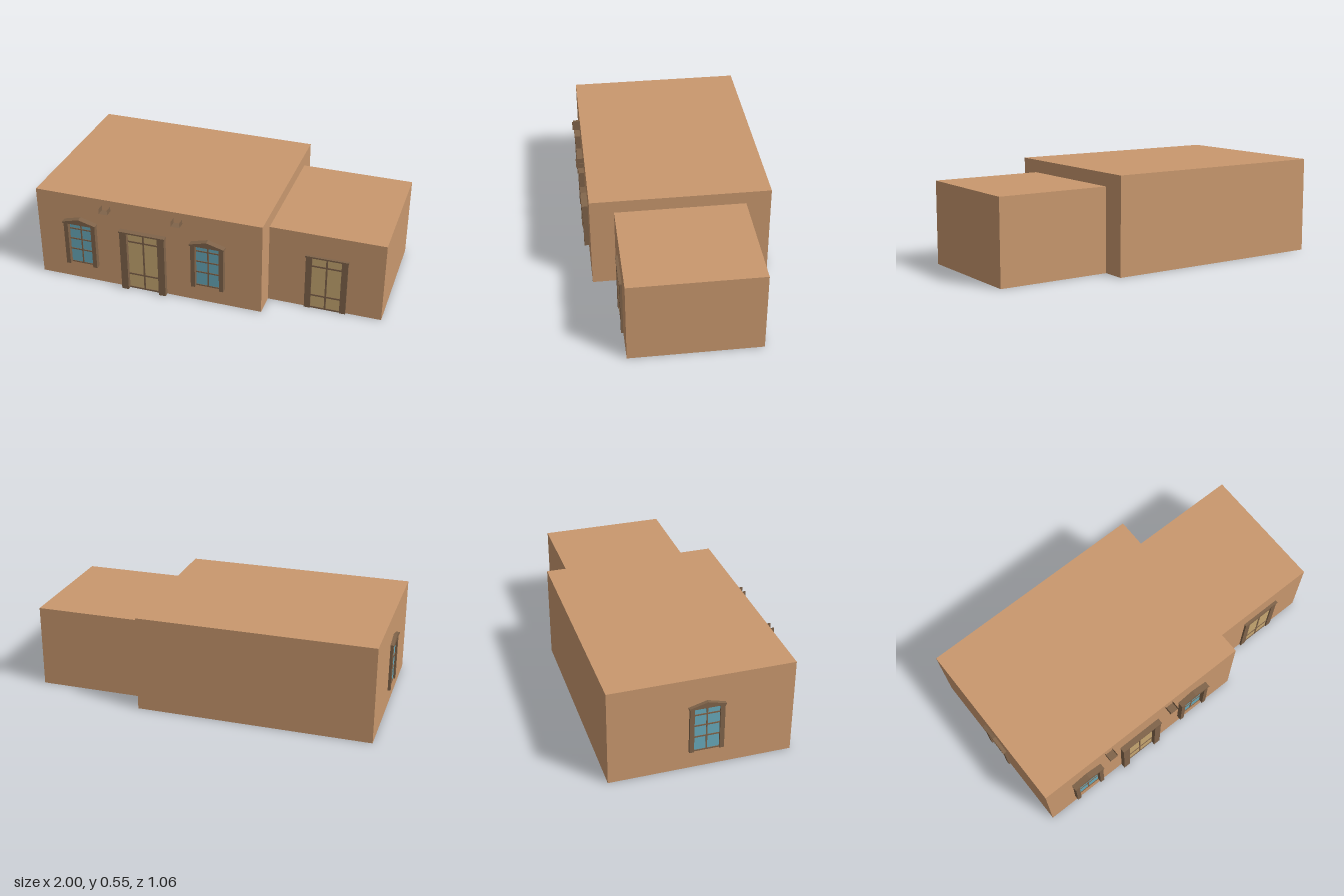
import * as THREE from 'three';

const mat = (color) => new THREE.MeshStandardMaterial({ color });
const wall = mat(0xc9986e), trim = mat(0x80644a), glass = mat(0x68aabb), panel = mat(0xc8a872);
const thin = mat(0x80644a);
thin.side = THREE.DoubleSide;

// Box given by its lower and upper limits on each axis
function box(parent, name, material, [x0, x1], [y0, y1], [z0, z1]) {
  const mesh = new THREE.Mesh(new THREE.BoxGeometry(x1 - x0, y1 - y0, z1 - z0), material);
  mesh.name = name;
  mesh.position.set((x0 + x1) / 2, (y0 + y1) / 2, (z0 + z1) / 2);
  parent.add(mesh);
  return mesh;
}

// Jambs, pane and glazing bars shared by windows and doors; the wall is at z = 0
function opening(name, { half, inner, y0, y1, depth, bars, fill, bar }) {
  const g = new THREE.Group();
  g.name = name;
  for (const s of [-1, 1]) {
    const xs = s < 0 ? [-half, -inner] : [inner, half];
    box(g, 'jamb', trim, xs, [y0, y1], [0, depth]);
  }
  box(g, 'pane', fill, [-inner, inner], [y0, y1], [0, 0.004]);
  box(g, 'uprightBar', trim, [-bar, bar], [y0, y1], [0, 0.007]);
  for (const y of bars) box(g, 'crossBar', trim, [-inner, inner], [y - bar, y + bar], [0, 0.007]);
  return g;
}

function makeWindow(name, depth) {
  const g = opening(name, {
    half: 0.095, inner: 0.07, y0: 0.105, y1: 0.377, depth,
    bars: [0.109, 0.196, 0.265, 0.332], fill: glass, bar: 0.004,
  });
  // Low gabled hood
  const shape = new THREE.Shape([
    [-0.1, 0.376], [0.1, 0.376], [0.1, 0.384], [0, 0.411], [-0.1, 0.384],
  ].map(([x, y]) => new THREE.Vector2(x, y)));
  const hood = new THREE.Mesh(
    new THREE.ExtrudeGeometry(shape, { depth: depth + 0.005, bevelEnabled: false }), trim);
  hood.name = 'gabledHood';
  g.add(hood);
  return g;
}

function makeDoor(name, half, inner, height, depth, bars) {
  const g = opening(name, {
    half: half - 0.004, inner, y0: 0, y1: height - 0.008, depth, bars, fill: panel, bar: 0.005,
  });
  box(g, 'lintel', trim, [-half, half], [height - 0.009, height], [0, depth + 0.004]);
  return g;
}

// Open-topped roof spout
function makeSpout(x) {
  const g = new THREE.Group();
  g.name = 'roofSpout';
  const plate = (name, w, h) => {
    const m = new THREE.Mesh(new THREE.PlaneGeometry(w, h), thin);
    m.name = name;
    g.add(m);
    return m;
  };
  const floor = plate('spoutFloor', 0.05, 0.046);
  floor.rotation.x = -Math.PI / 2;
  floor.position.y = -0.015;
  for (const s of [-1, 1]) {
    const side = plate('spoutSide', 0.046, 0.03);
    side.rotation.y = Math.PI / 2;
    side.position.x = s * 0.025;
  }
  g.position.set(x, 0.5, 0.503);
  return g;
}

export function createModel() {
  const model = new THREE.Group();
  model.name = 'adobeHouse';
  box(model, 'mainBlock', wall, [-0.98, 0.352], [0, 0.55], [-0.53, 0.48]);
  box(model, 'sideWing', wall, [0.352, 1], [0, 0.476], [-0.39, 0.345]);

  // Front windows
  for (const x of [-0.715, 0.045]) {
    const w = makeWindow('frontWindow', 0.03);
    w.position.set(x, 0, 0.48);
    model.add(w);
  }
  // End window on the right wall
  const end = makeWindow('endWindow', 0.015);
  end.rotation.y = -Math.PI / 2;
  end.position.set(-0.98, 0, 0);
  model.add(end);

  // Doors
  const mainDoor = makeDoor('mainDoor', 0.137, 0.092, 0.383, 0.029, [0.005, 0.097, 0.312]);
  mainDoor.position.set(-0.338, 0, 0.48);
  const wingDoor = makeDoor('wingDoor', 0.122, 0.083, 0.341, 0.012, [0.005, 0.086, 0.277]);
  wingDoor.position.set(0.682, 0, 0.345);
  model.add(mainDoor, wingDoor);

  for (const x of [-0.553, -0.128]) model.add(makeSpout(x));
  return model;
}
